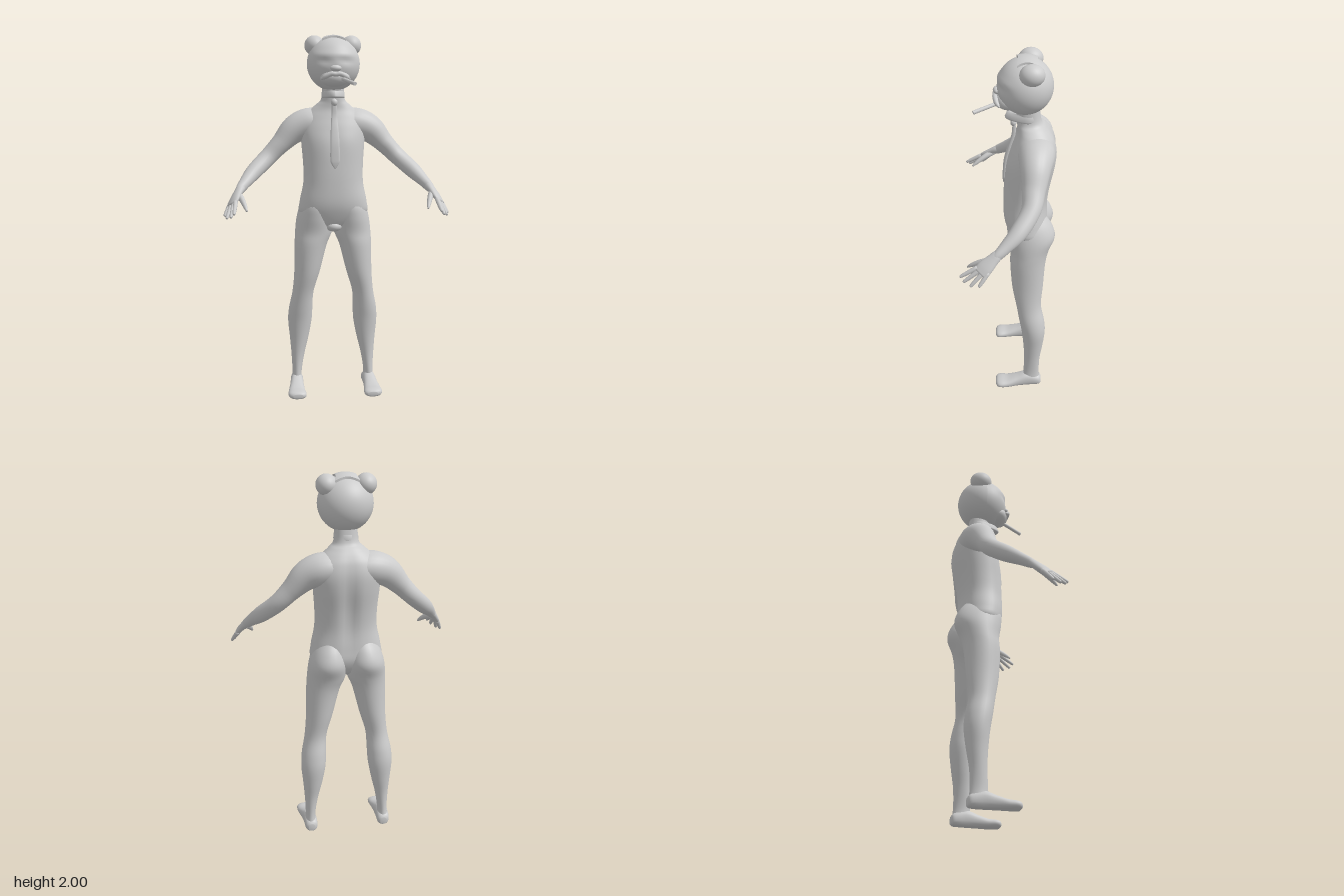
import * as THREE from 'three';

const V = (x, y, z) => new THREE.Vector3(x, y, z);
const skin = new THREE.MeshStandardMaterial({ color: 0xcccccc });
skin.name = 'plain grey';
const UP = V(0, 1, 0), DOWN = V(0, -1, 0), X = V(1, 0, 0), FWD = V(0, 0, 1);

// Smooth closed loft through sections [x, y, z, radiusA, radiusB].
// ref is the direction of radiusA; fixed keeps all rings in parallel planes
// and must point the way the sections run.
function loft(sections, { ref = X, fixed = null, sides = 24, steps = 5, power = 1, warp = null } = {}) {
  const path = new THREE.CatmullRomCurve3(sections.map(s => V(s[0], s[1], s[2])), false, 'catmullrom');
  const radii = new THREE.CatmullRomCurve3(sections.map(s => V(s[3], s[4], 0)), false, 'catmullrom');
  const n = (sections.length - 1) * steps, pos = [], idx = [];
  const bend = c => Math.sign(c) * Math.abs(c) ** power;
  for (let i = 0; i <= n; i++) {
    const c = path.getPoint(i / n), r = radii.getPoint(i / n);
    const t = fixed || path.getTangent(i / n);
    const a = ref.clone().addScaledVector(t, -ref.dot(t)).normalize();
    const b = t.clone().cross(a);
    for (let j = 0; j < sides; j++) {
      const q = (j / sides) * Math.PI * 2;
      const p = c.clone().addScaledVector(a, bend(Math.cos(q)) * r.x).addScaledVector(b, bend(Math.sin(q)) * r.y);
      if (warp) warp(p, c);
      pos.push(p.x, p.y, p.z);
    }
  }
  for (let i = 0; i < n; i++) for (let j = 0; j < sides; j++) {
    const k = (j + 1) % sides, p = i * sides, q = p + sides;
    idx.push(p + j, p + k, q + j, p + k, q + k, q + j);
  }
  // end caps
  const first = path.getPoint(0), last = path.getPoint(1), m = (n + 1) * sides;
  pos.push(first.x, first.y, first.z, last.x, last.y, last.z);
  for (let j = 0; j < sides; j++) {
    const k = (j + 1) % sides;
    idx.push(m, k, j, m + 1, n * sides + j, n * sides + k);
  }
  const g = new THREE.BufferGeometry();
  g.setAttribute('position', new THREE.Float32BufferAttribute(pos, 3));
  g.setIndex(idx);
  g.computeVertexNormals();
  return g;
}

function warpGeometry(g, rule) {
  const p = g.attributes.position, v = V(0, 0, 0);
  for (let i = 0; i < p.count; i++) {
    rule(v.fromBufferAttribute(p, i));
    p.setXYZ(i, v.x, v.y, v.z);
  }
  g.computeVertexNormals();
  return g;
}

const bump = (v, mid, width) => Math.exp(-(((v - mid) / width) ** 2));
const ball = (x, y, z, rx, ry, rz) => new THREE.SphereGeometry(1, 28, 20).scale(rx, ry, rz).translate(x, y, z);

export function createModel() {
  const model = new THREE.Group();
  model.name = 'bearHeadedFigure';
  const add = (name, geometry) => {
    const m = new THREE.Mesh(geometry, skin);
    m.name = name;
    model.add(m);
  };

  // Torso and neck: [y, half width, front z, back z]
  const torso = [
    [0.935, 0.03, -0.06, -0.14], [0.965, 0.1, -0.022, -0.18], [1.03, 0.186, 0.008, -0.21],
    [1.1, 0.186, 0.025, -0.212], [1.2, 0.166, 0.026, -0.21], [1.3, 0.165, 0.022, -0.222],
    [1.42, 0.174, 0.014, -0.245], [1.5, 0.178, -0.008, -0.25], [1.56, 0.16, -0.03, -0.238],
    [1.6, 0.125, -0.043, -0.217], [1.63, 0.09, -0.045, -0.193], [1.66, 0.064, -0.043, -0.168],
    [1.74, 0.058, -0.04, -0.155],
  ].map(([y, w, f, b]) => [0, y, (f + b) / 2, w, (f - b) / 2]);
  add('torso', loft(torso, {
    fixed: UP, sides: 48, power: 0.9,
    warp: (p, c) => {
      const groove = bump(p.x, 0, 0.035);
      if (p.z < c.z) p.z += 0.02 * groove * bump(p.y, 1.33, 0.22);
      else p.z -= 0.006 * groove * bump(p.y, 1.43, 0.08);
    },
  }));
  add('groin', ball(0, 0.963, -0.045, 0.045, 0.03, 0.04));

  for (const s of [1, -1]) {
    const side = s > 0 ? 'left' : 'right';
    const mir = list => list.map(([x, ...rest]) => [x * s, ...rest]);

    // Leg with buttock at the top
    add(side + 'Leg', loft(mir([
      [0.085, 1.15, -0.1, 0.055, 0.08], [0.094, 1.08, -0.112, 0.086, 0.118], [0.1, 1.01, -0.123, 0.102, 0.126],
      [0.108, 0.93, -0.114, 0.104, 0.104], [0.126, 0.85, -0.105, 0.09, 0.096], [0.147, 0.7, -0.105, 0.072, 0.085],
      [0.17, 0.58, -0.112, 0.06, 0.069], [0.183, 0.48, -0.13, 0.067, 0.07], [0.188, 0.4, -0.14, 0.067, 0.066],
      [0.193, 0.3, -0.14, 0.053, 0.055], [0.201, 0.2, -0.135, 0.037, 0.045], [0.207, 0.1, -0.132, 0.027, 0.045],
      [0.209, 0.03, -0.135, 0.032, 0.05],
    ]), { fixed: DOWN, sides: 28 }));

    // Foot, flat underneath and blunt at the toes
    add(side + 'Foot', loft(mir([
      [0.207, 0.03, -0.19, 0.018, 0.02], [0.207, 0.036, -0.172, 0.034, 0.034], [0.209, 0.043, -0.11, 0.036, 0.046],
      [0.212, 0.034, -0.05, 0.04, 0.035], [0.215, 0.025, 0.005, 0.047, 0.026], [0.214, 0.024, 0.045, 0.051, 0.023],
      [0.212, 0.022, 0.066, 0.045, 0.02], [0.21, 0.021, 0.076, 0.028, 0.011],
    ]), { fixed: FWD, power: 0.85, warp: p => { p.y = Math.max(p.y, 0.003); } }));

    // Arm, flowing from inside the chest to the wrist
    add(side + 'Arm', loft(mir([
      [0.04, 1.53, -0.14, 0.07, 0.09], [0.13, 1.523, -0.14, 0.086, 0.093], [0.21, 1.491, -0.132, 0.077, 0.078],
      [0.285, 1.418, -0.122, 0.055, 0.06], [0.357, 1.345, -0.106, 0.047, 0.05], [0.435, 1.272, -0.045, 0.043, 0.044],
      [0.485, 1.219, 0.02, 0.031, 0.032], [0.512, 1.187, 0.06, 0.025, 0.023], [0.525, 1.168, 0.085, 0.012, 0.012],
    ]), { ref: UP }));

    // Hand: flattened palm, four fingers, thumb
    const across = V(0.46 * s, -0.18, -0.87).normalize();
    add(side + 'Palm', loft(mir([
      [0.493, 1.21, 0.033, 0.015, 0.015], [0.507, 1.193, 0.056, 0.026, 0.023], [0.522, 1.173, 0.082, 0.032, 0.02],
      [0.541, 1.142, 0.118, 0.04, 0.017], [0.555, 1.118, 0.145, 0.036, 0.011],
    ]), { ref: across, sides: 18 }));
    [[0.54, 1.085, 0.243], [0.557, 1.066, 0.226], [0.58, 1.056, 0.192], [0.592, 1.062, 0.15]].forEach((tip, i) => {
      const base = V(0.546 * s, 1.132, 0.128).addScaledVector(across, -0.03 + i * 0.02);
      const end = V(tip[0] * s, tip[1], tip[2]);
      const at = (k, r) => [...base.clone().lerp(end, k).toArray(), r, r];
      add(side + 'Finger', loft([at(0, 0.012), at(0.5, 0.011), at(0.93, 0.008), at(1, 0.004)],
        { ref: across, sides: 10, steps: 3 }));
    });
    add(side + 'Thumb', loft(mir([
      [0.521, 1.168, 0.082, 0.02, 0.018], [0.5, 1.146, 0.133, 0.016, 0.015],
      [0.483, 1.115, 0.182, 0.011, 0.011], [0.475, 1.096, 0.206, 0.005, 0.005],
    ]), { ref: across, sides: 10, steps: 3 }));

    // Ear
    add(side + 'Ear', ball(s * 0.1, 1.943, -0.112, 0.054, 0.054, 0.062));
  }

  // Head with a soft brow ridge and shallow eye hollows
  const head = new THREE.SphereGeometry(1, 48, 40).scale(0.143, 0.143, 0.14).translate(0, 1.845, -0.083);
  add('head', warpGeometry(head, p => {
    const front = THREE.MathUtils.smoothstep(p.z, -0.06, 0.02);
    p.z += front * (0.005 * bump(p.y, 1.893, 0.018) - 0.007 * bump(p.y, 1.858, 0.018) * bump(Math.abs(p.x), 0.06, 0.04));
  }));
  add('muzzle', ball(0, 1.774, 0.002, 0.08, 0.05, 0.063));
  add('nose', ball(0, 1.822, 0.056, 0.03, 0.017, 0.02));
  add('upperLip', loft([
    [-0.076, 1.765, 0.045, 0.005, 0.005], [-0.055, 1.778, 0.058, 0.012, 0.012], [-0.025, 1.793, 0.065, 0.013, 0.013],
    [0, 1.791, 0.067, 0.012, 0.012], [0.025, 1.793, 0.065, 0.013, 0.013], [0.055, 1.778, 0.058, 0.012, 0.012],
    [0.076, 1.765, 0.045, 0.005, 0.005],
  ], { ref: UP, sides: 14 }));

  // Curved pad of hair on the crown, waisted in the middle
  const hair = new THREE.BoxGeometry(0.124, 0.024, 0.108, 14, 1, 12);
  add('hairPad', warpGeometry(hair, p => {
    p.x *= 0.85 + 0.2 * (p.z / 0.054) ** 2;
    p.z = p.z * (1 - 0.1 * bump(p.x, 0, 0.03)) - 0.095;
    p.y += 1.845 + Math.sqrt(0.0204 - p.x ** 2 - (p.z + 0.083) ** 2) - 0.001;
  }));

  // Cigarette
  const start = V(0.035, 1.768, 0.05), end = V(0.088, 1.743, 0.172);
  const stick = new THREE.CylinderGeometry(0.01, 0.01, start.distanceTo(end), 16);
  stick.applyQuaternion(new THREE.Quaternion().setFromUnitVectors(UP, end.clone().sub(start).normalize()));
  const mid = start.clone().lerp(end, 0.5);
  add('cigarette', stick.translate(mid.x, mid.y, mid.z));

  // Shirt collar, close round the neck and pulled forward at the throat
  const collar = new THREE.LatheGeometry([[0.054, 1.662], [0.063, 1.664], [0.064, 1.672], [0.061, 1.698], [0.054, 1.7], [0.054, 1.662]]
    .map(([r, y]) => new THREE.Vector2(r, y)), 40);
  add('collar', warpGeometry(collar, p => {
    if (p.z > 0) {
      p.z *= 1 + 0.85 * (p.z / 0.064) ** 2;
      p.y += 0.05 * p.z;
    }
    p.z -= 0.1;
  }));

  // Necktie lying on the chest
  add('tieKnot', ball(0, 1.642, -0.026, 0.018, 0.02, 0.016));
  add('tie', loft([
    [0, 1.64, -0.03, 0.013, 0.009], [0, 1.57, -0.026, 0.016, 0.01], [0, 1.5, -0.005, 0.021, 0.01],
    [0, 1.42, 0.014, 0.025, 0.01], [0, 1.34, 0.021, 0.026, 0.009], [0, 1.315, 0.022, 0.02, 0.008],
    [0, 1.29, 0.022, 0.003, 0.005],
  ], { sides: 16, power: 0.6 }));

  return model;
}
